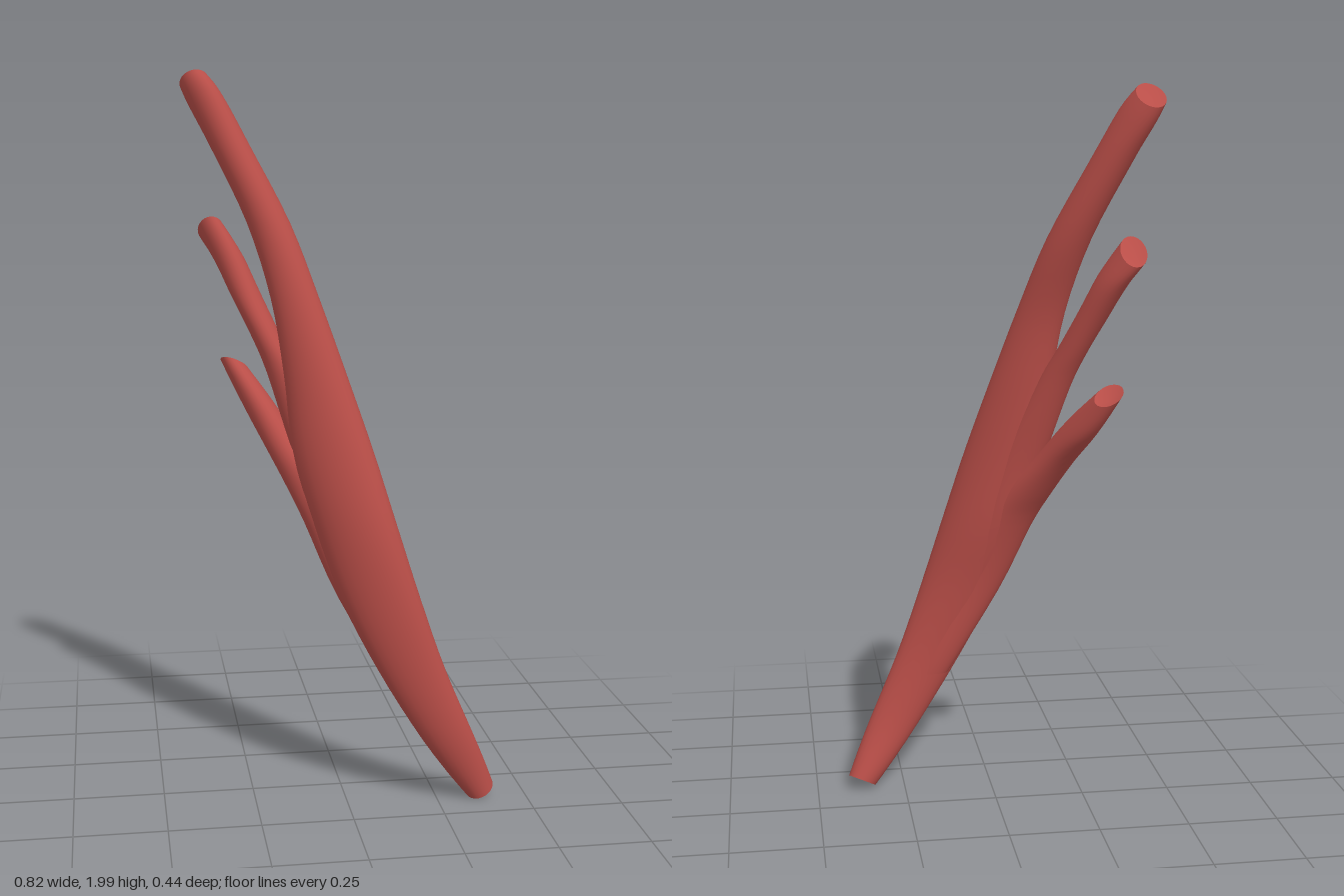
import * as THREE from 'three';

const SIDES = 24;
const STEPS = 4; // interpolated rings between two sections

const flesh = new THREE.MeshStandardMaterial({ color: 0xb94e48 });
flesh.name = 'muscle red';

// Catmull-Rom interpolation of whole section rows
function interpolate(rows, i, f) {
  const at = (k) => rows[Math.min(Math.max(k, 0), rows.length - 1)];
  const [p, a, b, n] = [at(i - 1), at(i), at(i + 1), at(i + 2)];
  return a.map((v, k) => {
    const t0 = (b[k] - p[k]) / 2, t1 = (n[k] - v) / 2, d = b[k] - v;
    return v + f * (t0 + f * (3 * d - 2 * t0 - t1 + f * (t0 + t1 - 2 * d)));
  });
}

// Section row: y, xMin, xMax, zMin, zMax, skew of the ellipse, y slope along x, y slope along z
function ring([y, x0, x1, z0, z1, skew, sx, sz]) {
  const points = [];
  for (let j = 0; j < SIDES; j++) {
    const t = (j / SIDES) * Math.PI * 2;
    const dx = ((x1 - x0) / 2) * Math.cos(t);
    const dz = ((z1 - z0) / 2) * Math.sin(t + Math.asin(skew));
    points.push(new THREE.Vector3((x0 + x1) / 2 + dx, y + sx * dx + sz * dz, (z0 + z1) / 2 + dz));
  }
  return points;
}

// Smooth strand through the sections, with a shallow dished cap at both ends
function strand(name, rows) {
  const rings = [];
  for (let i = 0; i < rows.length - 1; i++) {
    for (let s = 0; s < STEPS; s++) rings.push(ring(interpolate(rows, i, s / STEPS)));
  }
  rings.push(ring(rows[rows.length - 1]));

  const position = [], index = [];
  const add = (p) => position.push(p.x, p.y, p.z) / 3 - 1;
  rings.forEach((r) => r.forEach(add));
  for (let i = 0; i < rings.length - 1; i++) {
    for (let j = 0; j < SIDES; j++) {
      const k = (j + 1) % SIDES;
      const a = i * SIDES + j, b = i * SIDES + k;
      index.push(a, a + SIDES, b, b, a + SIDES, b + SIDES);
    }
  }
  [[rings[0], 0.01], [rings[rings.length - 1], -0.015]].forEach(([r, dish]) => {
    const middle = r.reduce((m, p) => m.add(p), new THREE.Vector3()).divideScalar(SIDES);
    middle.y += dish;
    const c = add(middle);
    const first = r.map(add)[0];
    for (let j = 0; j < SIDES; j++) {
      const a = first + j, b = first + ((j + 1) % SIDES);
      if (dish < 0) index.push(c, b, a);
      else index.push(c, a, b);
    }
  });

  const geometry = new THREE.BufferGeometry();
  geometry.setAttribute('position', new THREE.Float32BufferAttribute(position, 3));
  geometry.setIndex(index);
  geometry.computeVertexNormals();
  const mesh = new THREE.Mesh(geometry, flesh);
  mesh.name = name;
  return mesh;
}

export function createModel() {
  const group = new THREE.Group();
  group.name = 'muscle';

  // Belly with the longest slip
  group.add(strand('bellyAndUpperSlip', [
    [0.035, 0.335, 0.41, 0.09, 0.17, 0.1, 0.45, -0.4],
    [0.2, 0.205, 0.345, 0.12, 0.205, 0.1, 0.1, -0.1],
    [0.4, 0.08, 0.262, 0.12, 0.22, 0.2, 0, 0],
    [0.6, -0.02, 0.192, 0.09, 0.225, 0.35, 0, 0],
    [0.8, -0.09, 0.13, 0.045, 0.215, 0.4, 0, 0],
    [1.0, -0.14, 0.07, 0.02, 0.18, 0.4, 0, 0],
    [1.2, -0.16, 0.005, 0.0, 0.135, 0.3, 0, 0],
    [1.4, -0.19, -0.062, -0.03, 0.085, 0.2, 0, 0],
    [1.6, -0.247, -0.133, -0.1, 0.03, 0.15, 0, 0],
    [1.8, -0.337, -0.232, -0.165, -0.04, 0.15, 0, 0.1],
    [1.92, -0.393, -0.297, -0.2, -0.09, 0.1, 0, 0.5],
    [1.97, -0.413, -0.335, -0.212, -0.125, 0.0, 0.1, 0.7],
  ]));

  // Middle slip, rising out of the belly
  group.add(strand('middleSlip', [
    [0.5, 0.03, 0.15, 0.12, 0.19, 0.3, 0, 0],
    [0.8, -0.07, 0.05, 0.04, 0.14, 0.3, 0, 0],
    [1.0, -0.14, -0.02, 0.0, 0.1, 0.3, 0, 0],
    [1.2, -0.2, -0.11, -0.055, 0.05, 0.2, 0, 0],
    [1.3, -0.24, -0.16, -0.095, 0.015, 0.1, 0, 0],
    [1.4, -0.287, -0.205, -0.14, -0.03, 0.1, 0, 0],
    [1.5, -0.33, -0.25, -0.185, -0.08, 0.1, 0, 0.3],
    [1.575, -0.37, -0.3, -0.212, -0.13, 0.0, 0, 0.9],
  ]));

  // Lowest slip, bending furthest back
  group.add(strand('lowerSlip', [
    [0.35, 0.12, 0.22, 0.12, 0.18, 0.2, 0, 0],
    [0.6, -0.025, 0.11, 0.085, 0.18, 0.3, 0, 0],
    [0.8, -0.11, 0.03, 0.03, 0.14, 0.3, 0, 0],
    [0.9, -0.157, -0.03, -0.022, 0.1, 0.3, 0, 0],
    [1.0, -0.208, -0.105, -0.088, 0.04, 0.2, 0, 0],
    [1.1, -0.258, -0.172, -0.165, -0.035, 0.1, 0, 0.2],
    [1.2, -0.312, -0.235, -0.215, -0.14, 0.0, -0.4, 0.5],
  ]));

  return group;
}
